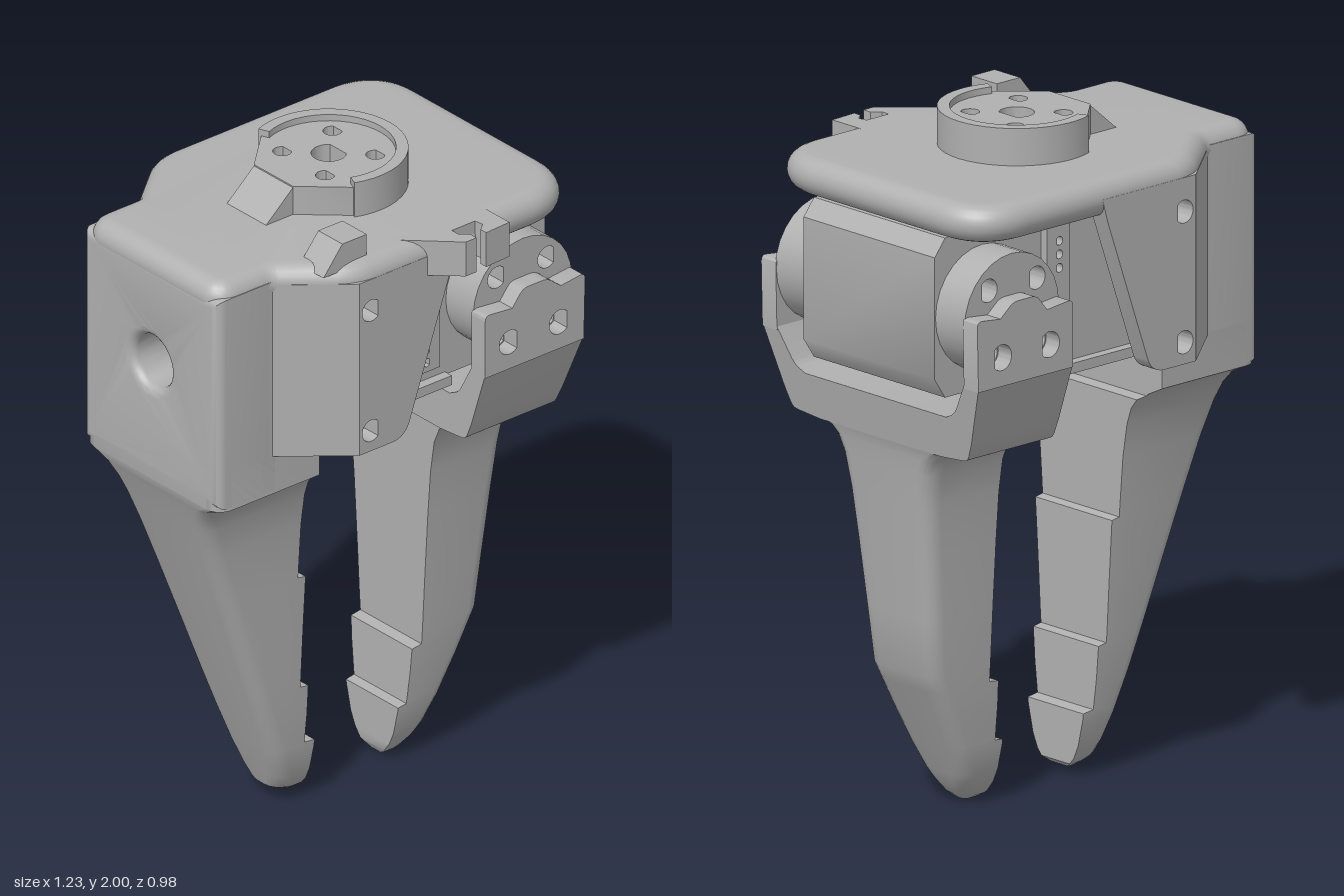
import * as THREE from 'three';
import { toCreasedNormals } from 'three/addons/utils/BufferGeometryUtils.js';

const grey = new THREE.MeshStandardMaterial({ color: 0xb0b0b0 });
grey.name = 'matte grey';

export function createModel() {
  const model = new THREE.Group();
  model.position.z = -0.035; // parts below are symmetric about their own z = 0
  const root = new THREE.Group();
  root.name = 'gripper';
  root.add(model);

  const add = (name, geo, x = 0, y = 0, z = 0) => {
    const flat = geo.index ? geo.toNonIndexed() : geo;
    const mesh = new THREE.Mesh(toCreasedNormals(flat, 0.6), grey);
    mesh.name = name;
    mesh.position.set(x, y, z);
    model.add(mesh);
    return mesh;
  };

  // Polygon whose points may carry a corner radius: [x, y, r]
  const poly = (pts) => {
    const shape = new THREE.Shape();
    pts.forEach(([x, y, r = 0], i) => {
      const p = new THREE.Vector2(x, y);
      const toward = (q) => p.clone().add(new THREE.Vector2(q[0] - x, q[1] - y).setLength(r));
      const a = toward(pts[(i + pts.length - 1) % pts.length]);
      const b = toward(pts[(i + 1) % pts.length]);
      i ? shape.lineTo(a.x, a.y) : shape.moveTo(a.x, a.y);
      if (r) shape.quadraticCurveTo(x, y, b.x, b.y);
    });
    shape.closePath();
    return shape;
  };

  // Teardrop screw hole with its tip toward +x
  const drop = (x, y, r) => {
    const path = new THREE.Path();
    path.moveTo(x + r * 1.41, y);
    path.absarc(x, y, r, Math.PI / 4, Math.PI * 1.75, false);
    path.closePath();
    return path;
  };
  const circle = (x, y, r) => new THREE.Path().absarc(x, y, r, 0, Math.PI * 2, false);

  const extrude = (shape, depth, bevel = 0) => new THREE.ExtrudeGeometry(shape, {
    depth: depth - 2 * bevel, bevelEnabled: bevel > 0, bevelThickness: bevel,
    bevelSize: bevel, bevelSegments: 6, curveSegments: 14,
  }).translate(0, 0, bevel);
  const alongX = (shape, depth, bevel) => extrude(shape, depth, bevel).rotateY(Math.PI / 2);
  const downY = (shape, depth, bevel) => extrude(shape, depth, bevel).rotateX(Math.PI / 2);

  // Top cover with a fully rounded rim
  add('topCover', downY(poly([
    [-0.565, -0.24, 0.02], [-0.4, -0.24, 0.04], [-0.21, -0.395, 0.05], [0.545, -0.395, 0.13],
    [0.545, 0.395, 0.13], [-0.21, 0.395, 0.05], [-0.4, 0.24, 0.04], [-0.565, 0.24, 0.02],
  ]), 0.11, 0.055), 0, 1.89);

  // Housing: end block with a cable hole, flared middle, two side cheeks
  const end = poly([[-0.265, 1.21], [0.265, 1.21], [0.265, 1.82], [-0.265, 1.82]]);
  end.holes.push(circle(0, 1.54, 0.11));
  add('housingEnd', alongX(end, 0.24, 0.03), -0.62);
  add('housingFlare', downY(poly([
    [-0.43, -0.295], [-0.42, -0.295], [-0.23, -0.45], [-0.22, -0.45],
    [-0.22, 0.45], [-0.23, 0.45], [-0.42, 0.295], [-0.43, 0.295],
  ]), 0.55), 0, 1.84);
  const cheek = poly([
    [-0.225, 1.84], [-0.225, 1.29], [-0.06, 1.29, 0.05], [0.11, 1.77], [0.13, 1.84],
  ]);
  cheek.holes.push(drop(-0.185, 1.74, 0.034), drop(-0.185, 1.355, 0.034));
  for (const z of [0.39, -0.45]) add('housingCheek', extrude(cheek, 0.06), 0, 0, z);

  // Servo motor with chamfered end, base tray and side strips
  add('servo', extrude(poly([
    [-0.24, 1.31], [0.57, 1.31], [0.61, 1.37], [0.61, 1.73], [0.57, 1.78], [-0.24, 1.78],
  ]), 0.54), 0, 0, -0.27);
  add('servoTray', new THREE.BoxGeometry(0.48, 0.03, 0.6), 0, 1.305, 0);
  const strip = poly([[0.11, 1.36], [0.2, 1.36], [0.2, 1.74], [0.11, 1.74]]);
  for (const y of [1.43, 1.65])
    for (const d of [-0.04, 0, 0.04]) strip.holes.push(drop(0.152, y + d, 0.013));
  for (const z of [0.27, -0.295]) add('servoStrip', extrude(strip, 0.025), 0, 0, z);

  // Round servo horns and the fork plates bolted over them
  const horn = new THREE.Shape().absarc(0.425, 1.55, 0.182, 0, Math.PI * 2, false);
  horn.holes.push(circle(0.425, 1.55, 0.035));
  const plate = poly([
    [0.24, 1.37], [0.605, 1.37], [0.61, 1.58, 0.02], [0.52, 1.57], [0.47, 1.61, 0.02],
    [0.38, 1.61, 0.02], [0.34, 1.56], [0.24, 1.57, 0.02],
  ]);
  for (const x of [0.33, 0.515]) {
    horn.holes.push(drop(x, 1.64, 0.034), drop(x, 1.455, 0.034));
    plate.holes.push(drop(x, 1.455, 0.038));
  }
  for (const [zHorn, zPlate] of [[0.27, 0.385], [-0.39, -0.445]]) {
    add('servoHorn', extrude(horn, 0.12), 0, 0, zHorn);
    add('forkPlate', extrude(plate, 0.06), 0, 0, zPlate);
  }

  // Fork yoke under the servo, narrowing downward on its outer side
  const half = [[0.25, 1.13], [0.36, 1.14, 0.02], [0.385, 1.2], [0.445, 1.38],
    [0.385, 1.38], [0.33, 1.28, 0.02], [0.29, 1.26]];
  const yoke = alongX(poly([...half, ...half.map(([z, y, r]) => [-z, y, r]).reverse()]), 0.365);
  const yp = yoke.attributes.position;
  for (let i = 0; i < yp.count; i++)
    if (yp.getX(i) > 0.2) yp.setX(i, 0.365 - (1.38 - yp.getY(i)) * 0.16);
  add('forkYoke', yoke, 0.24);

  // Finger: rounded sections lofted upward; tables are [height, value]
  const lerp = (table, y) => {
    const i = Math.max(1, table.findIndex((p) => p[0] >= y));
    const [a, b] = [table[i - 1], table[i]];
    return a[1] + (b[1] - a[1]) * Math.min(1, Math.max(0, (y - a[0]) / (b[0] - a[0])));
  };
  const finger = (name, inner, outer, width) => {
    const ys = [...new Set([...inner, ...outer, ...width].map((p) => p[0]))].sort((a, b) => a - b);
    const pos = [], idx = [], n = 14;
    const s = Math.sign(outer[0][1] - inner[0][1]);
    for (const y of ys) {
      const xi = lerp(inner, y), xo = lerp(outer, y), w = lerp(width, y);
      const r = Math.min(0.05, w * 0.9, Math.abs(xo - xi) * 0.9);
      pos.push(xi, y, -w);
      for (const side of [-1, 1])
        for (let k = 0; k < 6; k++) {
          const a = (side < 0 ? k / 5 - 1 : k / 5) * Math.PI / 2;
          pos.push(xo - s * r + s * r * Math.cos(a), y, side * (w - r) + r * Math.sin(a));
        }
      pos.push(xi, y, w);
    }
    const tri = (a, b, c) => (s > 0 ? idx.push(a, b, c) : idx.push(a, c, b));
    const top = (ys.length - 1) * n;
    for (let j = 0; j < ys.length - 1; j++)
      for (let k = 0; k < n; k++) {
        const a = j * n + k, b = j * n + (k + 1) % n;
        tri(a, a + n, b);
        tri(b, a + n, b + n);
      }
    for (let k = 1; k < n - 1; k++) {
      tri(0, k, k + 1);
      tri(top, top + k + 1, top + k);
    }
    const geo = new THREE.BufferGeometry();
    geo.setAttribute('position', new THREE.Float32BufferAttribute(pos, 3));
    geo.setIndex(idx);
    add(name, geo);
  };
  const taper = [[0.06, 0.075], [0.1, 0.093], [0.18, 0.112], [0.3, 0.127], [0.43, 0.137],
    [0.6, 0.147], [0.8, 0.16], [0.95, 0.172], [1.05, 0.188]];

  finger('movingFinger',
    [[0.005, 0.215], [0.03, 0.2], [0.19, 0.2], [0.195, 0.23], [0.375, 0.235], [0.38, 0.27], [1.2, 0.27]],
    [[0.005, 0.26], [0.03, 0.295], [0.08, 0.325], [0.43, 0.49], [1.14, 0.565], [1.2, 0.575]],
    [[0.005, 0.02], [0.02, 0.045], ...taper, [1.1, 0.21], [1.125, 0.24], [1.14, 0.3], [1.2, 0.3]]);
  finger('fixedFinger',
    [[0.025, -0.125], [0.04, -0.11], [0.2, -0.11], [0.205, -0.148], [0.395, -0.15], [0.4, -0.18],
      [0.765, -0.18], [0.77, -0.208], [1.13, -0.21], [1.135, -0.245], [1.3, -0.245]],
    [[0.025, -0.17], [0.05, -0.21], [1.17, -0.62], [1.3, -0.62]],
    [[0.025, 0.035], [0.04, 0.058], ...taper, [1.1, 0.205], [1.14, 0.235], [1.17, 0.295], [1.3, 0.295]]);

  // Mounting hub on the cover: drilled base, raised rim and ramp
  const cx = 0.04;
  const base = new THREE.Shape();
  base.moveTo(-0.165, -0.085);
  base.lineTo(-0.04, -0.2);
  base.absarc(cx, 0, 0.215, -Math.PI * 0.62, Math.PI * 0.62, false);
  base.lineTo(-0.165, 0.085);
  base.closePath();
  base.holes.push(drop(cx, 0, 0.05));
  for (const dx of [-0.093, 0.093])
    for (const dz of [-0.093, 0.093]) base.holes.push(drop(cx + dx, dz, 0.027));
  add('hubBase', downY(base, 0.1), 0, 1.98);
  const rim = new THREE.Shape();
  const sweep = Math.PI * 0.62;
  rim.absarc(cx, 0, 0.225, -sweep, sweep, false);
  rim.absarc(cx, 0, 0.19, sweep, -sweep, true);
  rim.closePath();
  add('hubRim', downY(rim, 0.12), 0, 2.0);
  add('hubRamp', extrude(poly([[-0.27, 1.885], [-0.16, 1.885], [-0.16, 1.98]]), 0.17), 0, 0, -0.085);

  // Cable clip on the front edge and small wedge beside it
  add('cableClip', downY(poly([
    [-0.05, 0.38], [0.27, 0.38], [0.27, 0.515], [0.18, 0.52], [0.18, 0.495], [0.205, 0.475],
    [0.2, 0.447], [0.115, 0.447], [0.115, 0.475], [0.14, 0.495], [0.14, 0.525], [0.1, 0.525],
  ]), 0.11), 0, 1.89);
  add('cornerWedge', extrude(poly([
    [-0.32, 1.87], [-0.16, 1.87], [-0.16, 1.955], [-0.25, 1.955],
  ]), 0.105), 0, 0, 0.295);

  return root;
}
